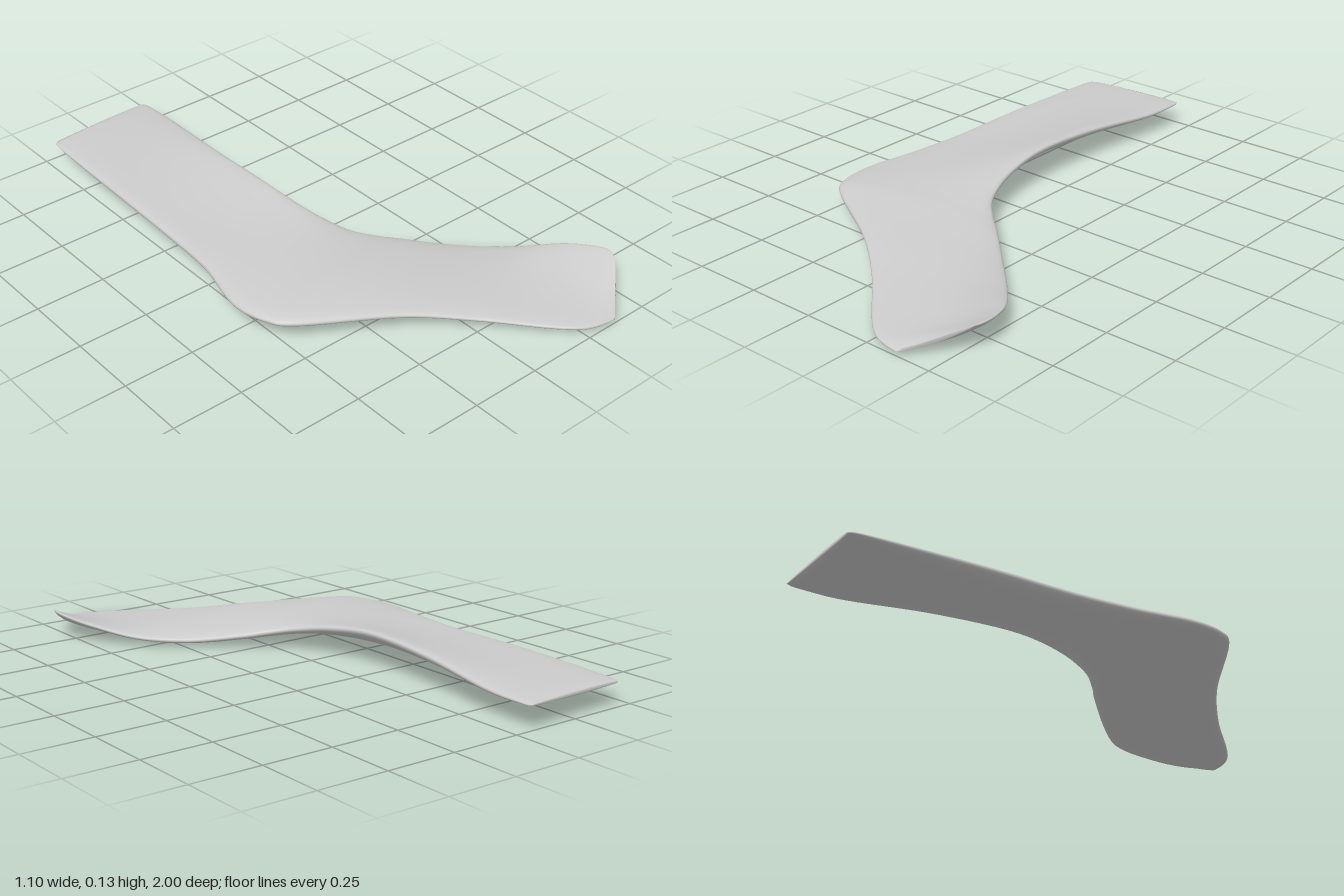
import * as THREE from 'three';

// Stations from cuff to toe: [heel-side x, z], [instep-side x, z],
// [heel-side y, middle y, instep-side y], full thickness
const STATIONS = [
  [[-0.46, -0.982], [-0.06, -1.0], [0.075, 0.078, 0.08], 0.012],
  [[-0.472, -0.95], [-0.053, -0.96], [0.075, 0.076, 0.08], 0.03],
  [[-0.48, -0.8], [-0.055, -0.8], [0.075, 0.07, 0.085], 0.05],
  [[-0.489, -0.5], [-0.083, -0.5], [0.075, 0.069, 0.112], 0.062],
  [[-0.495, -0.22], [-0.09, -0.22], [0.07, 0.068, 0.124], 0.063],
  [[-0.51, 0], [-0.07, -0.02], [0.07, 0.07, 0.105], 0.063],
  [[-0.552, 0.2], [-0.02, 0.13], [0.062, 0.07, 0.077], 0.063],
  [[-0.53, 0.34], [0.05, 0.21], [0.065, 0.067, 0.058], 0.062],
  [[-0.46, 0.425], [0.11, 0.26], [0.065, 0.063, 0.046], 0.06],
  [[-0.18, 0.59], [0.25, 0.39], [0.055, 0.04, 0.025], 0.053],
  [[0.01, 0.74], [0.38, 0.52], [0.034, 0.026, 0.03], 0.044],
  [[0.16, 0.89], [0.49, 0.65], [0.02, 0.023, 0.065], 0.04],
  [[0.24, 0.96], [0.535, 0.74], [0.015, 0.026, 0.085], 0.036],
  [[0.3, 0.987], [0.549, 0.8], [0.012, 0.034, 0.095], 0.03],
  [[0.37, 0.998], [0.535, 0.845], [0.012, 0.044, 0.092], 0.012],
];
const ROWS = 112, SIDES = 48;

const smooth = (pick) => new THREE.CatmullRomCurve3(
  STATIONS.map((s) => new THREE.Vector3(...pick(s))), false, 'catmullrom', 0.5);

// Flattened tube whose lens-shaped sections follow the two edges of the sock
function sockGeometry() {
  const heelEdge = smooth(([o, , y]) => [o[0], y[0], o[1]]);
  const instepEdge = smooth(([, i, y]) => [i[0], y[2], i[1]]);
  const middle = smooth(([, , y, t]) => [y[1], t, 0]);
  const pos = [], index = [];

  for (let r = 0; r <= ROWS; r++) {
    const a = heelEdge.getPoint(r / ROWS), b = instepEdge.getPoint(r / ROWS);
    const m = middle.getPoint(r / ROWS);
    for (let j = 0; j < SIDES; j++) {
      const ang = (j / SIDES) * Math.PI * 2;
      const c = Math.cos(ang), s = Math.sin(ang);
      const p = a.clone().lerp(b, (c + 1) / 2);
      const sag = (m.x - (a.y + b.y) / 2) * (1 - c * c);
      const half = (m.y / 2) * Math.sign(s) * Math.pow(Math.abs(s), 0.8);
      pos.push(p.x, Math.max(0, p.y + sag + half), p.z);
    }
  }
  for (let r = 0; r < ROWS; r++) {
    for (let j = 0; j < SIDES; j++) {
      const p = r * SIDES + j, q = r * SIDES + (j + 1) % SIDES;
      index.push(p, q, p + SIDES, q, q + SIDES, p + SIDES);
    }
  }
  // Close the pressed-flat cuff and the toe tip
  for (const [row, flip] of [[0, true], [ROWS, false]]) {
    const base = row * SIDES;
    for (let j = 1; j < SIDES - 1; j++) {
      const p = base + j, q = p + 1;
      index.push(base, flip ? q : p, flip ? p : q);
    }
  }
  const g = new THREE.BufferGeometry();
  g.setAttribute('position', new THREE.Float32BufferAttribute(pos, 3));
  g.setIndex(index);
  g.computeVertexNormals();
  return g;
}

export function createModel() {
  const model = new THREE.Group();
  model.name = 'sock';
  const body = new THREE.Mesh(sockGeometry(), new THREE.MeshStandardMaterial({ color: 0xcccccc }));
  body.name = 'sockBody';
  model.add(body);
  return model;
}
